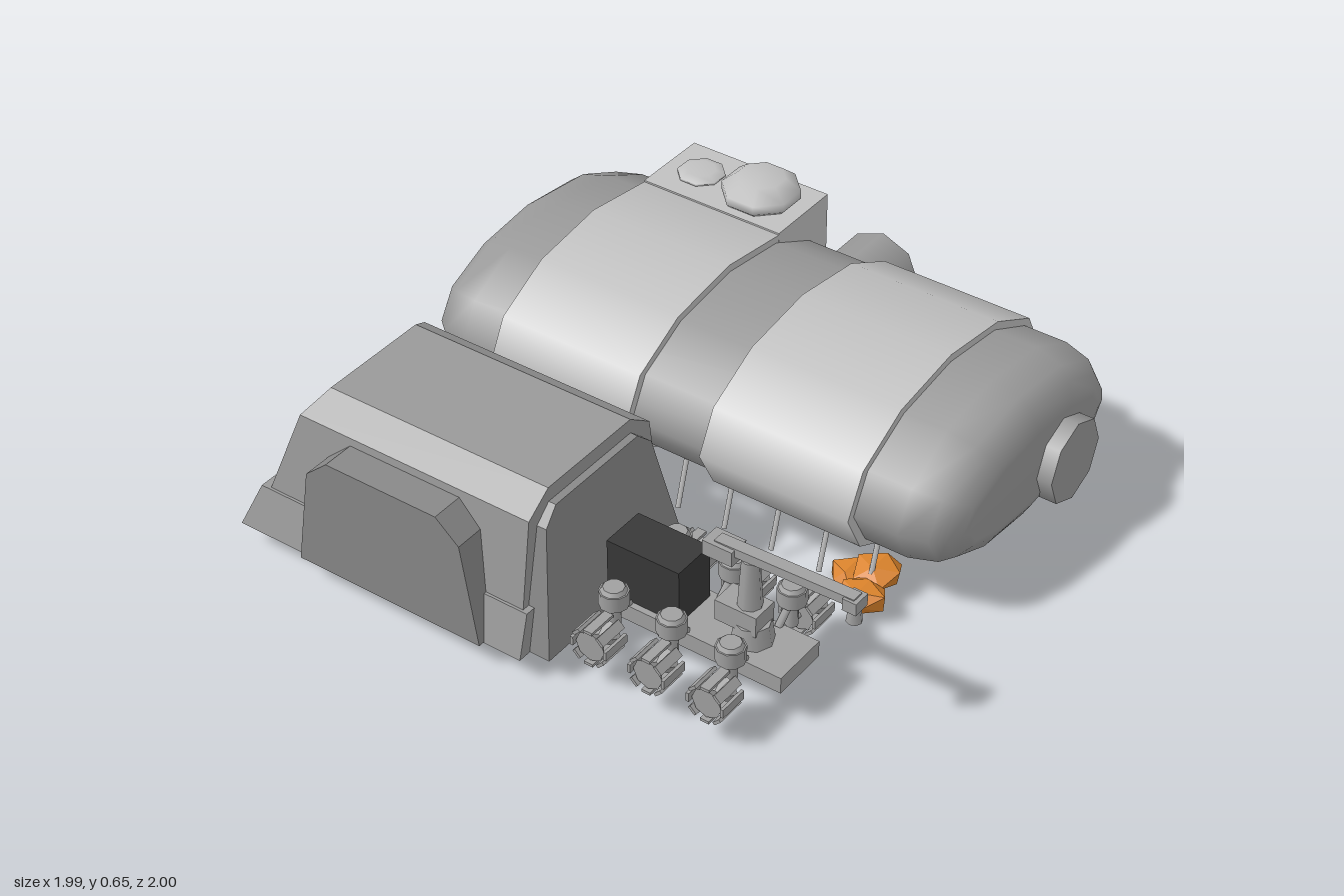
import * as THREE from 'three';
import { mergeVertices } from 'three/addons/utils/BufferGeometryUtils.js';

export function createModel() {
  const root = new THREE.Group();
  const mat = (name, color, flatShading = false) => {
    const m = new THREE.MeshStandardMaterial({ color });
    m.name = name;
    m.flatShading = flatShading;
    return m;
  };
  const hullGray = mat('hullGray', 0x999999);
  const lightGray = mat('lightGray', 0xc0c0c0);
  const doorGray = mat('doorGray', 0x888888);
  const machineGray = mat('machineGray', 0xa0a0a0);
  const black = mat('black', 0x383838);
  const orange = mat('rockOrange', 0xd9822b, true);

  const add = (parent, name, geo, material, x = 0, y = 0, z = 0) => {
    const m = new THREE.Mesh(geo, material);
    m.name = name;
    m.position.set(x, y, z);
    parent.add(m);
    return m;
  };
  const group = (name, x = 0, y = 0, z = 0) => {
    const g = new THREE.Group();
    g.name = name;
    g.position.set(x, y, z);
    root.add(g);
    return g;
  };
  const box = (w, h, d) => new THREE.BoxGeometry(w, h, d);
  const cyl = (r1, r2, h, n = 8) => new THREE.CylinderGeometry(r1, r2, h, n);
  // round bar between two points
  const bar = (parent, name, a, b, r, material) => {
    const p = new THREE.Vector3(...a), q = new THREE.Vector3(...b);
    const m = add(parent, name, cyl(r, r, p.distanceTo(q), 6), material);
    m.position.copy(p).lerp(q, 0.5);
    m.quaternion.setFromUnitVectors(new THREE.Vector3(0, 1, 0), q.sub(p).normalize());
    return m;
  };
  // symmetric outline [halfWidth, y] from bottom to top; ends lean by rules of y
  const leaningPrism = (outline, back, front) => {
    const right = outline.map(([w, y]) => new THREE.Vector2(w, y));
    const left = outline.map(([w, y]) => new THREE.Vector2(-w, y)).reverse();
    const g = new THREE.ExtrudeGeometry(new THREE.Shape([...right, ...left]), { depth: 1, bevelEnabled: false });
    const p = g.attributes.position;
    for (let i = 0; i < p.count; i++) {
      const y = p.getY(i);
      p.setZ(i, p.getZ(i) > 0.5 ? front(y) : back(y));
    }
    g.computeVertexNormals();
    return g;
  };
  const ramp = (y0, v0, y1, v1) => y => v0 + (v1 - v0) * (y - y0) / (y1 - y0);

  // ---- Habitat: elliptical hull with rounded ends ----
  const habitat = group('habitat', 0.34, 0.33, 0);
  const half = [[0, 0.95], [0.13, 0.95], [0.105, 0.945], [0.06, 0.92], [0.025, 0.88], [0, 0.79]];
  const profile = half.map(([d, z], i) => new THREE.Vector2(i ? 1 - d : 0, z));
  const full = [...profile.map(v => new THREE.Vector2(v.x, -v.y)), ...profile.slice().reverse()];
  let hull = new THREE.LatheGeometry(full, 12);
  hull.rotateX(Math.PI / 2);
  const hp = hull.attributes.position;
  for (let i = 0; i < hp.count; i++) {
    const x = hp.getX(i), y = hp.getY(i), rho = Math.hypot(x, y);
    if (rho < 0.5) { hp.setX(i, 0); hp.setY(i, 0); continue; }
    hp.setX(i, x / rho * (rho - 0.5));
    hp.setY(i, y / rho * (rho - 0.75));
  }
  hull.deleteAttribute('uv');
  hull.deleteAttribute('normal');
  hull = mergeVertices(hull, 1e-4);
  hull.computeVertexNormals();
  add(habitat, 'hull', hull, hullGray);
  for (const [z0, z1] of [[-0.655, -0.14], [0.125, 0.645]]) {
    const g = cyl(1, 1, z1 - z0, 12);
    g.rotateX(Math.PI / 2);
    g.scale(0.53, 0.275, 1);
    add(habitat, 'hullBand', g, lightGray, 0, 0, (z0 + z1) / 2);
  }

  // docking ports
  const portGeo = h => cyl(0.138, 0.138, h).rotateX(Math.PI / 2);
  for (const s of [1, -1]) add(root, 'endPort', portGeo(0.12), hullGray, 0.49, 0.278, s * 0.94);
  add(root, 'sidePort', cyl(0.138, 0.138, 0.23).rotateZ(Math.PI / 2), hullGray, 0.875, 0.278, -0.002);

  // equipment bay with side panel and roof domes
  const bay = group('equipmentBay');
  add(bay, 'bayBox', box(0.27, 0.245, 0.515), lightGray, 0.737, 0.452, -0.397);
  add(bay, 'bayPanel', box(0.03, 0.175, 0.455), lightGray, 0.88, 0.453, -0.393);
  const dome = (r, h, x, z) => {
    const pts = [[r * 0.85, 0], [r, h * 0.2], [r, h * 0.55], [r * 0.62, h], [0, h]];
    const g = new THREE.LatheGeometry(pts.map(p => new THREE.Vector2(...p)), 8);
    g.rotateY(Math.PI / 8);
    add(bay, 'roofDome', g, lightGray, x, 0.572, z);
  };
  dome(0.127, 0.083, 0.737, -0.3);
  dome(0.078, 0.022, 0.737, -0.53);

  // splayed legs along both sides
  const legs = group('legs', 0.34, 0, 0);
  for (const s of [1, -1])
    for (let i = -4; i <= 4; i++)
      bar(legs, 'leg', [s * 0.415, 0.21, i * 0.17], [s * 0.465, 0.038, i * 0.17], 0.009, lightGray);

  // ---- Rocks ----
  let seed = 7;
  const rand = () => (seed = (seed * 16807) % 2147483647) / 2147483647;
  const rocks = group('rocks');
  const rock = (x, y, z, r) => {
    const g = mergeVertices(new THREE.IcosahedronGeometry(1, 0).deleteAttribute('uv').deleteAttribute('normal'));
    const p = g.attributes.position;
    for (let i = 0; i < p.count; i++) {
      const k = 0.8 + 0.4 * rand();
      p.setXYZ(i, p.getX(i) * k * r, p.getY(i) * k * r * 0.6, p.getZ(i) * k * r);
    }
    g.computeVertexNormals();
    add(rocks, 'rock', g, orange, x, y, z);
  };
  [
    [-0.18, 0.078, 0.7, 0.075], [-0.09, 0.045, 0.6, 0.07], [-0.06, 0.078, 0.68, 0.075],
    [0.86, 0.085, 0.73, 0.075], [0.81, 0.065, 0.64, 0.07],
    [0.88, 0.08, -0.27, 0.075], [0.87, 0.072, -0.41, 0.08], [0.8, 0.08, -0.35, 0.065],
    [-0.16, 0.075, -0.49, 0.07], [-0.06, 0.07, -0.55, 0.075],
  ].forEach(r => rock(...r));

  // ---- Garage ----
  const garage = group('garage', -0.61, 0, 0);
  add(garage, 'garageSkirt', leaningPrism([[0.37, 0.08], [0.33, 0.225]],
    ramp(0.08, -0.98, 0.225, -0.92), () => 0.07), hullGray);
  add(garage, 'garageShell', leaningPrism([[0.325, 0.2], [0.28, 0.515], [0.19, 0.578]],
    y => y < 0.52 ? ramp(0.2, -0.9, 0.515, -0.785)(y) : -0.74, () => 0.05), hullGray);
  add(garage, 'garageDoor', leaningPrism([[0.325, 0.081], [0.245, 0.48], [0.19, 0.53]],
    () => 0, ramp(0.08, 0.14, 0.53, 0.075)), doorGray);
  const hatch = leaningPrism([[0.335, 0.082], [0.28, 0.42], [0.2, 0.49]], () => 0, () => 0.2);
  const hatchMesh = add(garage, 'sideHatch', hatch, doorGray, -0.19, 0, -0.395);
  hatchMesh.rotation.y = -Math.PI / 2;

  // ---- Rover ----
  const rover = group('rover', -0.61, 0, 0);
  add(rover, 'chassis', box(0.19, 0.055, 0.62), machineGray, 0, 0.152, 0.46);
  add(rover, 'cargoBox', box(0.15, 0.185, 0.25), black, 0, 0.272, 0.285);
  add(rover, 'turretBase', cyl(0.055, 0.065, 0.07), machineGray, 0, 0.21, 0.61);
  add(rover, 'turretBody', box(0.09, 0.07, 0.14), machineGray, 0, 0.265, 0.58);
  add(rover, 'mast', cyl(0.027, 0.04, 0.2), machineGray, 0, 0.36, 0.6);
  add(rover, 'boomMount', box(0.07, 0.05, 0.1), machineGray, 0, 0.46, 0.51);
  const boom = add(rover, 'boom', box(0.04, 0.03, 0.46), machineGray, 0, 0.48, 0.72);
  boom.rotation.x = -0.03;
  add(rover, 'boomTip', box(0.058, 0.04, 0.045), machineGray, 0, 0.478, 0.94);
  add(rover, 'boomTool', cyl(0.018, 0.024, 0.05), machineGray, 0, 0.437, 0.94);

  // spool wheels with open tread plates
  const spool = [[0, -0.04], [0.05, -0.04], [0.018, 0], [0.05, 0.04], [0, 0.04]];
  const spoolGeo = new THREE.LatheGeometry(spool.map(p => new THREE.Vector2(...p)), 8)
    .rotateZ(Math.PI / 2).toNonIndexed();
  spoolGeo.computeVertexNormals();
  for (const s of [1, -1]) {
    for (const z of [0.24, 0.44, 0.64]) {
      add(rover, 'wheelHub', spoolGeo, machineGray, s * 0.225, 0.145, z);
      for (let i = 0; i < 8; i++) {
        const a = i * Math.PI / 4;
        const t = add(rover, 'treadPlate', box(0.1, 0.01, 0.03), machineGray,
          s * 0.225, 0.145 + Math.cos(a) * 0.058, z + Math.sin(a) * 0.058);
        t.rotation.x = a;
      }
      add(rover, 'wheelMotor', cyl(0.045, 0.045, 0.05, 10), machineGray, s * 0.15, 0.25, z);
      add(rover, 'motorCap', cyl(0.032, 0.042, 0.015, 10), machineGray, s * 0.15, 0.28, z);
      add(rover, 'wheelStrut', cyl(0.02, 0.02, 0.1), machineGray, s * 0.15, 0.19, z);
      bar(rover, 'axle', [s * 0.14, 0.147, z], [s * 0.225, 0.147, z], 0.01, machineGray);
      bar(rover, 'suspensionArm', [s * 0.08, 0.175, z], [s * 0.15, 0.235, z], 0.013, machineGray);
    }
  }
  return root;
}
